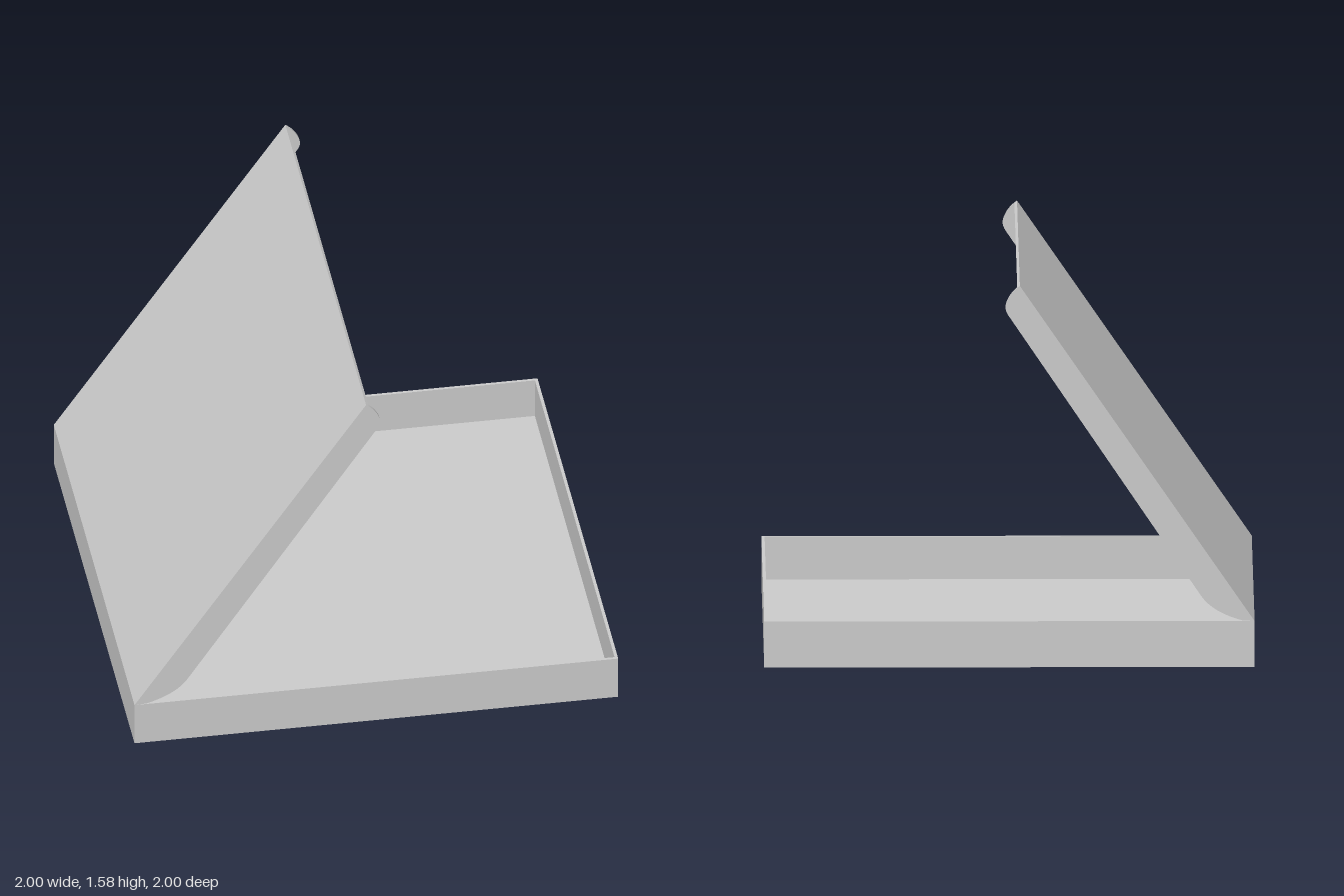
import * as THREE from 'three';

const material = new THREE.MeshStandardMaterial({ color: 0xcccccc, flatShading: true });
const T = 0.013; // sheet thickness

function addBox(parent, name, size, position) {
  const mesh = new THREE.Mesh(new THREE.BoxGeometry(...size), material);
  mesh.name = name;
  mesh.position.set(...position);
  parent.add(mesh);
  return mesh;
}

export function createModel() {
  const model = new THREE.Group();
  model.name = 'hingedBox';

  // Open tray with thin walls
  const tray = new THREE.Group();
  tray.name = 'tray';
  const H = 0.19, W = 1.995, cx = -0.0025;
  addBox(tray, 'trayFloor', [W, T, 2], [cx, T / 2, 0]);
  for (const s of [1, -1]) {
    addBox(tray, 'traySideWall', [W, H - T, T], [cx, (H + T) / 2, s * (1 - T / 2)]);
    addBox(tray, 'trayEndWall', [T, H - T, 2 - 2 * T], [cx + s * (W - T) / 2, (H + T) / 2, 0]);
  }
  model.add(tray);

  // Lid opened about the left edge of the tray
  const lid = new THREE.Group();
  lid.name = 'lid';
  const hinge = new THREE.Vector2(-1, H), tip = new THREE.Vector2(-0.045, 1.575);
  const along = tip.clone().sub(hinge);
  const length = along.length(), angle = along.angle();
  const panelHolder = new THREE.Group();
  panelHolder.name = 'lidPanelHolder';
  panelHolder.position.set(hinge.x, hinge.y, 0);
  panelHolder.rotation.z = angle;
  addBox(panelHolder, 'lidPanel', [length, T, 2 - 2 * T], [length / 2, -T / 2, 0]);
  lid.add(panelHolder);

  // Side flanges with rounded corners
  const profile = new THREE.Shape();
  profile.moveTo(hinge.x, hinge.y);
  profile.lineTo(-0.95, 0.193);
  profile.bezierCurveTo(-0.88, 0.212, -0.81, 0.245, -0.775, 0.305);
  profile.lineTo(0.003, 1.455);
  profile.bezierCurveTo(0.018, 1.48, 0.016, 1.495, 0.004, 1.52);
  profile.quadraticCurveTo(-0.012, 1.553, tip.x, tip.y);
  profile.closePath();
  const flange = new THREE.ExtrudeGeometry(profile, { depth: T, bevelEnabled: false, curveSegments: 8 });
  for (const z of [1 - T, -1]) {
    const mesh = new THREE.Mesh(flange, material);
    mesh.name = 'lidFlange';
    mesh.position.z = z;
    lid.add(mesh);
  }
  model.add(lid);

  return model;
}
